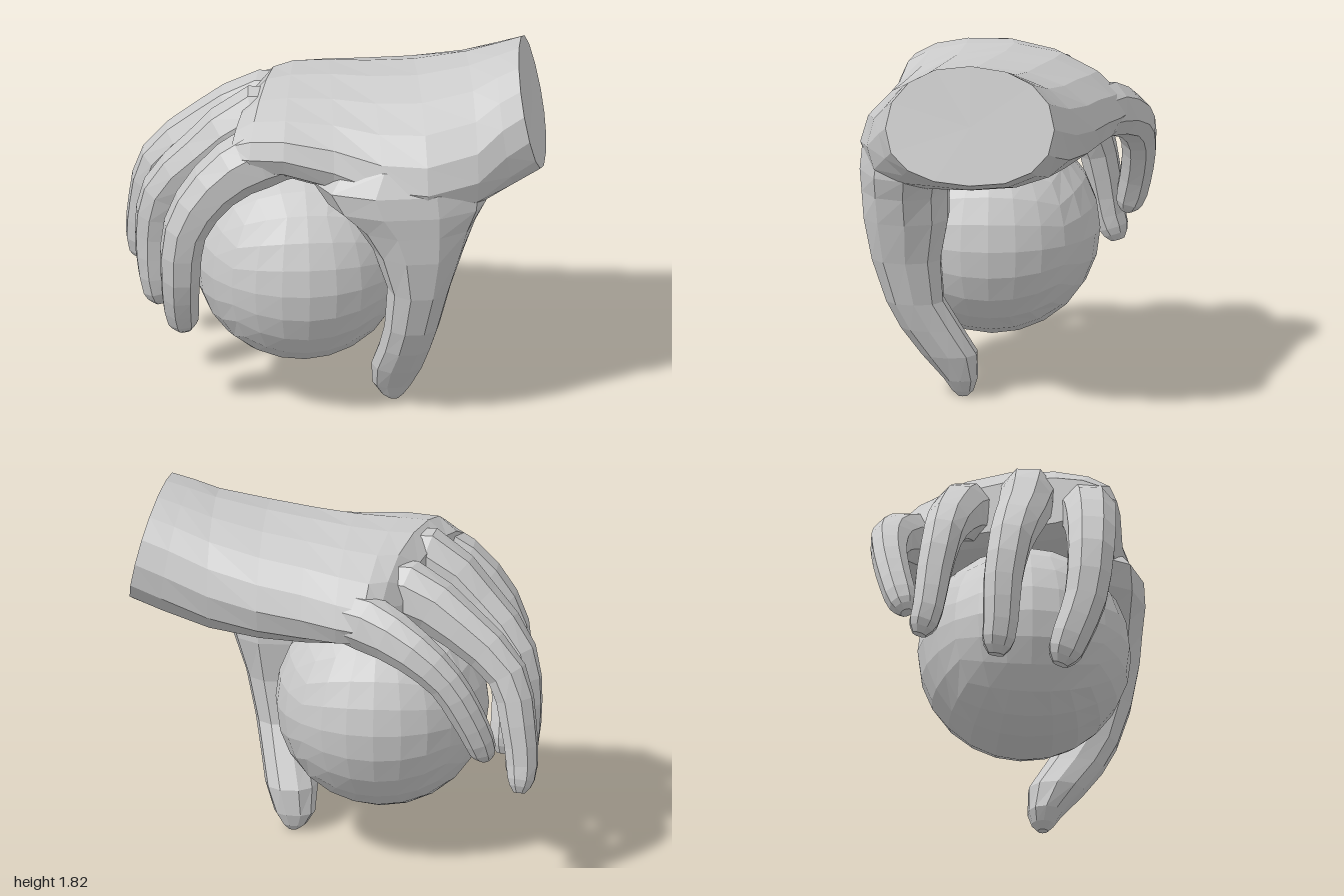
import * as THREE from 'three';

const material = new THREE.MeshStandardMaterial({ color: 0xcccccc, flatShading: true });
const V = (x, y, z) => new THREE.Vector3(x, y, z);

// Skins a list of equal-sized rings and closes both ends
function loft(name, rings) {
  const n = rings[0].length;
  const pos = [];
  const index = [];
  rings.forEach(r => r.forEach(p => pos.push(p.x, p.y, p.z)));
  for (let r = 0; r < rings.length - 1; r++) {
    for (let i = 0; i < n; i++) {
      const j = (i + 1) % n;
      const a = r * n + i, b = r * n + j;
      index.push(a, b, b + n, a, b + n, a + n);
    }
  }
  [0, rings.length - 1].forEach((r, end) => {
    const c = V(0, 0, 0);
    rings[r].forEach(p => c.addScaledVector(p, 1 / n));
    const k = pos.length / 3;
    pos.push(c.x, c.y, c.z);
    for (let i = 0; i < n; i++) {
      const a = r * n + i, b = r * n + (i + 1) % n;
      index.push(k, ...(end ? [a, b] : [b, a]));
    }
  });
  const geo = new THREE.BufferGeometry();
  geo.setAttribute('position', new THREE.Float32BufferAttribute(pos, 3));
  geo.setIndex(index);
  geo.computeVertexNormals();
  const mesh = new THREE.Mesh(geo, material);
  mesh.name = name;
  return mesh;
}

// Unit outline; power below 1 makes it squarer
function outline(sides, power, turn = 0) {
  return Array.from({ length: sides }, (_, i) => {
    const a = (i + turn) / sides * Math.PI * 2;
    const f = t => Math.sign(t) * Math.pow(Math.abs(t), power);
    return [f(Math.cos(a)), f(Math.sin(a))];
  });
}

// Palm and wrist: x, bottom, top, back, front, x slope over y, x slope over z, back droop, front droop
function makePalm() {
  const stations = [
    [0.93, 1.25, 1.82, -0.29, 0.54, -0.23, -0.12, 0, 0.03],
    [0.80, 1.19, 1.785, -0.32, 0.58, -0.15, -0.08, 0, 0.04],
    [0.62, 1.13, 1.74, -0.38, 0.645, 0, 0, 0.02, 0.09],
    [0.37, 1.12, 1.69, -0.46, 0.69, 0, 0, 0.03, 0.10],
    [0.15, 1.14, 1.67, -0.51, 0.64, 0, 0, 0.05, 0.09],
    [-0.05, 1.19, 1.66, -0.56, 0.56, 0, -0.05, 0.09, 0.04],
    [-0.24, 1.24, 1.65, -0.59, 0.53, 0, -0.15, 0.12, 0],
    [-0.36, 1.25, 1.64, -0.52, 0.50, 0, -0.25, 0.12, 0],
    [-0.45, 1.30, 1.56, -0.40, 0.44, 0, -0.30, 0.10, 0],
  ];
  return loft('palm', stations.map(([x, y0, y1, z0, z1, sy, sz, back, front]) =>
    outline(16, 0.9).map(([c, s]) => {
      const dz = c * (z1 - z0) / 2, dy = s * (y1 - y0) / 2;
      const droop = c * c * (c > 0 ? front : back);
      return V(x + sy * dy + sz * dz, (y0 + y1) / 2 + dy - droop, (z0 + z1) / 2 + dz);
    })));
}

// Thumb with its fleshy base: y, x range, z range
function makeThumb() {
  const stations = [
    [1.50, 0.10, 0.58, 0.12, 0.46],
    [1.40, -0.08, 0.66, 0.14, 0.63],
    [1.29, -0.17, 0.70, 0.20, 0.69],
    [1.18, -0.10, 0.68, 0.23, 0.70],
    [1.07, 0.03, 0.62, 0.25, 0.69],
    [0.93, 0.12, 0.57, 0.25, 0.68],
    [0.72, 0.19, 0.50, 0.29, 0.64],
    [0.50, 0.18, 0.45, 0.28, 0.57],
    [0.36, 0.16, 0.42, 0.20, 0.50],
    [0.22, 0.13, 0.39, 0.12, 0.40],
    [0.09, 0.14, 0.34, 0.12, 0.29],
    [0.03, 0.18, 0.30, 0.14, 0.25],
    [0.00, 0.22, 0.27, 0.17, 0.22],
  ];
  return loft('thumb', stations.map(([y, x0, x1, z0, z1]) =>
    outline(10, 0.9).map(([c, s]) =>
      V((x0 + x1) / 2 + c * (x1 - x0) / 2, y, (z0 + z1) / 2 + s * (z1 - z0) / 2))));
}

// Finger swept along knuckle points [x, y, z, half width, half thickness]
function makeFinger(name, joints) {
  const curve = new THREE.CatmullRomCurve3(joints.map(j => V(j[0], j[1], j[2])));
  const last = joints.length - 1;
  const steps = last * 2;
  const rings = [];
  const addRing = (t, scale) => {
    const k = Math.min(Math.floor(t * last), last - 1);
    const f = t * last - k;
    const width = THREE.MathUtils.lerp(joints[k][3], joints[k + 1][3], f) * scale;
    const thick = THREE.MathUtils.lerp(joints[k][4], joints[k + 1][4], f) * scale;
    const p = curve.getPoint(t);
    const w = curve.getTangent(t);
    const u = V(0, 0, 1).addScaledVector(w, -w.z).normalize();
    const v = w.clone().cross(u);
    rings.push(outline(8, 0.9, 0.5).map(([c, s]) =>
      p.clone().addScaledVector(u, c * width).addScaledVector(v, s * thick)));
  };
  for (let i = 0; i < steps; i++) addRing(i / steps, 1);
  addRing(0.96, 0.85);
  addRing(1, 0.5);
  return loft(name, rings);
}

// Ball: a cube grid pushed out to a sphere
function makeBall() {
  const geo = new THREE.BoxGeometry(2, 2, 2, 6, 6, 6);
  const pos = geo.attributes.position;
  const p = V(0, 0, 0);
  for (let i = 0; i < pos.count; i++) {
    p.fromBufferAttribute(pos, i);
    p.set(...p.toArray().map(t => Math.tan(t * Math.PI / 4))).setLength(0.522);
    pos.setXYZ(i, p.x, p.y, p.z);
  }
  geo.computeVertexNormals();
  const ball = new THREE.Mesh(geo, material);
  ball.name = 'ball';
  ball.position.set(-0.2, 0.737, 0.07);
  return ball;
}

export function createModel() {
  const model = new THREE.Group();
  model.name = 'handHoldingBall';

  const hand = new THREE.Group();
  hand.name = 'hand';
  hand.add(
    makePalm(),
    makeThumb(),
    makeFinger('indexFinger', [
      [-0.18, 1.42, 0.34, 0.11, 0.12], [-0.43, 1.40, 0.36, 0.14, 0.16],
      [-0.65, 1.25, 0.36, 0.13, 0.13], [-0.79, 1.02, 0.35, 0.12, 0.11],
      [-0.81, 0.76, 0.32, 0.11, 0.10], [-0.80, 0.56, 0.25, 0.10, 0.09],
      [-0.78, 0.42, 0.20, 0.08, 0.07]]),
    makeFinger('middleFinger', [
      [-0.12, 1.46, 0.09, 0.12, 0.12], [-0.41, 1.47, 0.07, 0.14, 0.165],
      [-0.67, 1.27, 0.02, 0.125, 0.125], [-0.86, 1.04, -0.05, 0.11, 0.11],
      [-0.90, 0.80, -0.09, 0.10, 0.10], [-0.90, 0.58, -0.10, 0.09, 0.08],
      [-0.87, 0.42, -0.12, 0.08, 0.07]]),
    makeFinger('ringFinger', [
      [-0.06, 1.42, -0.16, 0.12, 0.12], [-0.35, 1.42, -0.23, 0.13, 0.155],
      [-0.62, 1.27, -0.31, 0.115, 0.12], [-0.85, 1.06, -0.38, 0.10, 0.10],
      [-0.91, 0.82, -0.43, 0.09, 0.09], [-0.93, 0.62, -0.46, 0.08, 0.08],
      [-0.92, 0.49, -0.50, 0.07, 0.06]]),
    makeFinger('littleFinger', [
      [0.08, 1.37, -0.35, 0.11, 0.12], [-0.18, 1.34, -0.48, 0.125, 0.14],
      [-0.41, 1.24, -0.59, 0.105, 0.11], [-0.57, 1.10, -0.62, 0.09, 0.09],
      [-0.66, 0.95, -0.61, 0.085, 0.085], [-0.73, 0.79, -0.58, 0.08, 0.075],
      [-0.76, 0.68, -0.55, 0.06, 0.06]]),
  );

  model.add(makeBall(), hand);
  return model;
}
